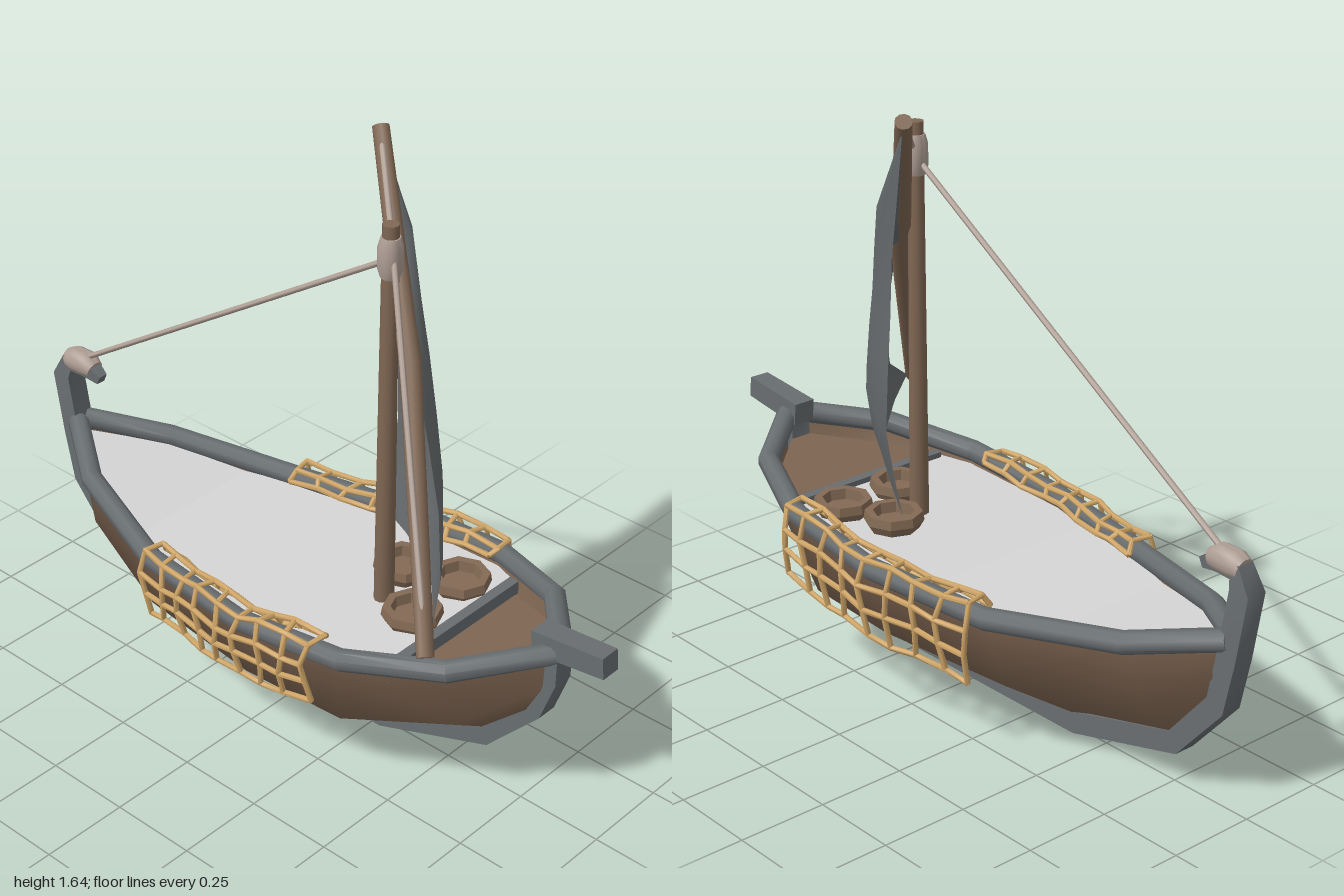
import * as THREE from 'three';
import { mergeGeometries, toCreasedNormals } from 'three/addons/utils/BufferGeometryUtils.js';

const V = (x, y, z) => new THREE.Vector3(x, y, z);
const mat = (name, color, side = THREE.FrontSide) => {
  const m = new THREE.MeshStandardMaterial({ color, side });
  m.name = name;
  return m;
};

// Gunwale stations: half width, height, z
const SHEER = [[0.015, 0.475, -0.92], [0.16, 0.435, -0.71], [0.285, 0.4, -0.34], [0.345, 0.42, 0.05],
  [0.325, 0.455, 0.4], [0.22, 0.495, 0.66], [0.015, 0.53, 0.84]];
const CHINE = [[0.015, 0.38, -0.92], [0.13, 0.26, -0.74], [0.25, 0.21, -0.38], [0.305, 0.22, 0.04],
  [0.285, 0.22, 0.36], [0.17, 0.29, 0.65], [0.015, 0.42, 0.835]];
const KEEL = [[0, 0.29, -0.91], [0, 0.13, -0.76], [0, 0.04, -0.4], [0, 0.035, 0],
  [0, 0.04, 0.28], [0, 0.17, 0.63], [0, 0.33, 0.8]];

function sheerAt(z) {
  let i = 0;
  while (i < SHEER.length - 2 && z > SHEER[i + 1][2]) i++;
  const [a, b] = [SHEER[i], SHEER[i + 1]];
  const t = (z - a[2]) / (b[2] - a[2]);
  return { x: a[0] + (b[0] - a[0]) * t, y: a[1] + (b[1] - a[1]) * t };
}

// Surface through rows of equally many points
function loft(rows) {
  const n = rows[0].length, index = [];
  for (let i = 0; i < rows.length - 1; i++) {
    for (let j = 0; j < n - 1; j++) {
      const a = i * n + j, b = a + n;
      index.push(a, b, b + 1, a, b + 1, a + 1);
    }
  }
  const g = new THREE.BufferGeometry();
  g.setAttribute('position', new THREE.Float32BufferAttribute(rows.flat(2), 3));
  g.setIndex(index);
  g.computeVertexNormals();
  return g;
}

// Capped bar swept along points; ref steers the section, radii may be one value or one per point
function sweep(points, ref, radius, sides = 8) {
  const pos = [], index = [], n = points.length;
  points.forEach((p, i) => {
    const t = points[Math.min(i + 1, n - 1)].clone().sub(points[Math.max(i - 1, 0)]).normalize();
    const s = ref.clone().addScaledVector(t, -ref.dot(t)).normalize();
    const u = t.clone().cross(s);
    const r = Array.isArray(radius) ? radius[i] : radius;
    for (let j = 0; j < sides; j++) {
      const a = ((j + 0.5) / sides) * Math.PI * 2;
      pos.push(...p.clone().addScaledVector(s, r * Math.cos(a)).addScaledVector(u, r * Math.sin(a)));
    }
  });
  for (let i = 0; i < n - 1; i++) {
    for (let j = 0; j < sides; j++) {
      const k = (j + 1) % sides, a = i * sides;
      index.push(a + j, a + k, a + sides + k, a + j, a + sides + k, a + sides + j);
    }
  }
  const end = (n - 1) * sides;
  for (let j = 1; j < sides - 1; j++) index.push(0, j + 1, j, end, end + j, end + j + 1);
  const g = new THREE.BufferGeometry();
  g.setAttribute('position', new THREE.Float32BufferAttribute(pos, 3));
  g.setIndex(index);
  return toCreasedNormals(g, 0.85);
}

export function createModel() {
  const group = new THREE.Group();
  group.name = 'sailingBoat';
  const D = THREE.DoubleSide;
  const hullMat = mat('hullBrown', 0x7e6551, D), wood = mat('sparWood', 0x806753);
  const tubWood = mat('tubWood', 0x836a54, D), trim = mat('trimGrey', 0x686d70);
  const deckMat = mat('deckGrey', 0xd6d5d5, D), cloth = mat('sailGrey', 0x666a6c, D);
  const rope = mat('ropeGrey', 0xaf9f95), netMat = mat('netTan', 0xcfa567);
  const X = V(1, 0, 0), Y = V(0, 1, 0), Z = V(0, 0, 1);
  const add = (name, geo, material) => {
    const m = new THREE.Mesh(geo, material);
    m.name = name;
    group.add(m);
    return m;
  };

  // Hull planking and gunwales, mirrored
  for (const [label, s] of [['left', 1], ['right', -1]]) {
    const flip = (row) => row.map(([x, y, z]) => [x * s, y, z]);
    add(label + 'Hull', loft([SHEER, CHINE, KEEL].map(flip)), hullMat);
    add(label + 'Gunwale', sweep(SHEER.map(([x, y, z]) => V(x * s, y, z)), Y, 0.031), trim);
  }

  // Square keel with stem and curled sternpost
  const keelPath = [[0.83, 0.56], [0.83, 0.45], [0.79, 0.335], [0.635, 0.165], [0.275, 0.031], [-0.4, 0.031],
    [-0.765, 0.128], [-0.905, 0.29], [-0.935, 0.43], [-0.968, 0.62], [-0.945, 0.668], [-0.88, 0.675], [-0.825, 0.65]];
  add('keel', sweep(keelPath.map(([z, y]) => V(0, y, z)), X,
    keelPath.map((p, i) => (i > 11 ? 0.02 : i > 9 ? 0.036 : 0.044)), 4), trim);
  add('bowBlock', sweep([V(0, 0.546, 0.78), V(0, 0.57, 1)], X, [0.047, 0.043], 4), trim);

  // Faceted deck, sunken foredeck and the beam between them
  const deckRows = (stations, inset) => stations.map(([z, y]) => {
    const x = Math.max(sheerAt(z).x - inset, 0.005);
    return [[-x, y, z], [x, y, z]];
  });
  add('deck', toCreasedNormals(loft(deckRows([[-0.9, 0.44], [-0.71, 0.415], [-0.47, 0.383], [-0.34, 0.383],
    [-0.07, 0.383], [0.05, 0.393], [0.4, 0.421], [0.485, 0.428]], 0.016)), 0.02), deckMat);
  add('foredeck', loft(deckRows([[0.485, 0.4], [0.66, 0.435], [0.8, 0.465]], 0.028)), hullMat);
  add('deckBeam', new THREE.BoxGeometry(0.53, 0.04, 0.03), trim).position.set(0, 0.423, 0.492);

  // Mast and yard
  add('mast', sweep([V(0, 0.38, 0.26), V(0, 1.53, 0.26)], X, [0.028, 0.022], 10), wood);
  const yardLow = V(-0.33, 0.61, 0.68), yardTop = V(0.25, 1.625, 0.005);
  add('yard', sweep([yardLow, V(-0.01, 1.17, 0.34), yardTop], X, [0.023, 0.029, 0.023], 10), wood);

  // Sail between the luff along the yard and the free edge
  const luff = [[-0.29, 0.625, 0.66], [-0.17, 0.71, 0.59], [-0.1, 0.85, 0.52], [-0.06, 0.99, 0.45],
    [-0.02, 1.15, 0.37], [0.06, 1.22, 0.26], [0.16, 1.32, 0.14], [0.25, 1.6, 0.01]];
  const leech = [[0.205, 0.515, 0.083], [0.24, 0.65, 0.075], [0.27, 0.78, 0.067], [0.26, 0.93, 0.07],
    [0.24, 1.09, 0.08], [0.245, 1.25, 0.065], [0.245, 1.42, 0.04], [0.25, 1.6, 0.01]];
  add('sail', loft(luff.map((a, i) => [0, 0.2, 0.4, 0.6, 0.8, 1].map((t) => {
    const b = leech[i], belly = Math.sin(t * Math.PI) * (i === 7 ? 0 : 0.04);
    return [0, 1, 2].map((k) => a[k] + (b[k] - a[k]) * t + (k === 1 ? 0 : belly));
  }))), cloth);

  // Rigging ropes and lashings
  const lines = [[V(0, 1.43, 0.255), V(0, 0.69, -0.9)], [V(-0.01, 1.44, 0.28), V(-0.315, 0.64, 0.665)],
    [V(0.01, 1.46, 0.26), V(0.24, 1.61, 0.015)]];
  lines.forEach((l, i) => add('riggingRope' + (i + 1), sweep(l, X, 0.008, 12), rope));
  add('mastLashing', sweep([V(0, 1.385, 0.26), V(0, 1.41, 0.26), V(0, 1.47, 0.26), V(0, 1.495, 0.26)],
    X, [0.026, 0.033, 0.033, 0.026], 12), rope);
  add('sternLashing', sweep([V(0, 0.672, -0.955), V(0, 0.678, -0.93), V(0, 0.68, -0.88), V(0, 0.67, -0.855)],
    X, [0.03, 0.038, 0.038, 0.028], 12), rope);

  // Nets draped over the gunwales
  const drape = [[-0.05, 0.01], [-0.03, 0.036], [0.026, 0.036], [0.045, -0.03], [0.038, -0.1], [0.022, -0.185]];
  for (const [label, s, z0, z1, drop] of [['left', 1, -0.31, 0.4, 1], ['right', -1, -0.33, 0.31, 0.85]]) {
    const cols = 9, grid = [];
    for (let c = 0; c < cols; c++) {
      const z = z0 + ((z1 - z0) * c) / (cols - 1);
      const { x, y } = sheerAt(z);
      grid.push(drape.map(([dx, dy], r) => V(s * (x + dx), y + (dy < -0.02 ? dy * drop : dy)
        + 0.008 * Math.sin(c * 1.9 + r), z + 0.01 * Math.sin(c * 2.3 + r * 1.7))));
    }
    const strands = grid.map((col) => sweep(col, Z, 0.008));
    drape.forEach((_, r) => strands.push(sweep(grid.map((col) => col[r]), Y, 0.008)));
    add(label + 'Net', mergeGeometries(strands), netMat);
  }

  // Open tubs on the deck
  const tubProfile = [[0, 0], [0.07, 0], [0.084, 0.025], [0.08, 0.05], [0.058, 0.05], [0.054, 0.02], [0, 0.02]]
    .map(([r, y]) => new THREE.Vector2(r, y));
  const tubGeo = toCreasedNormals(new THREE.LatheGeometry(tubProfile, 8), 0.5);
  [[0.17, 0.385], [-0.03, 0.385], [0.12, 0.225]].forEach(([x, z], i) => {
    add('tub' + (i + 1), tubGeo, tubWood).position.set(x, 0.41, z);
  });

  return group;
}
